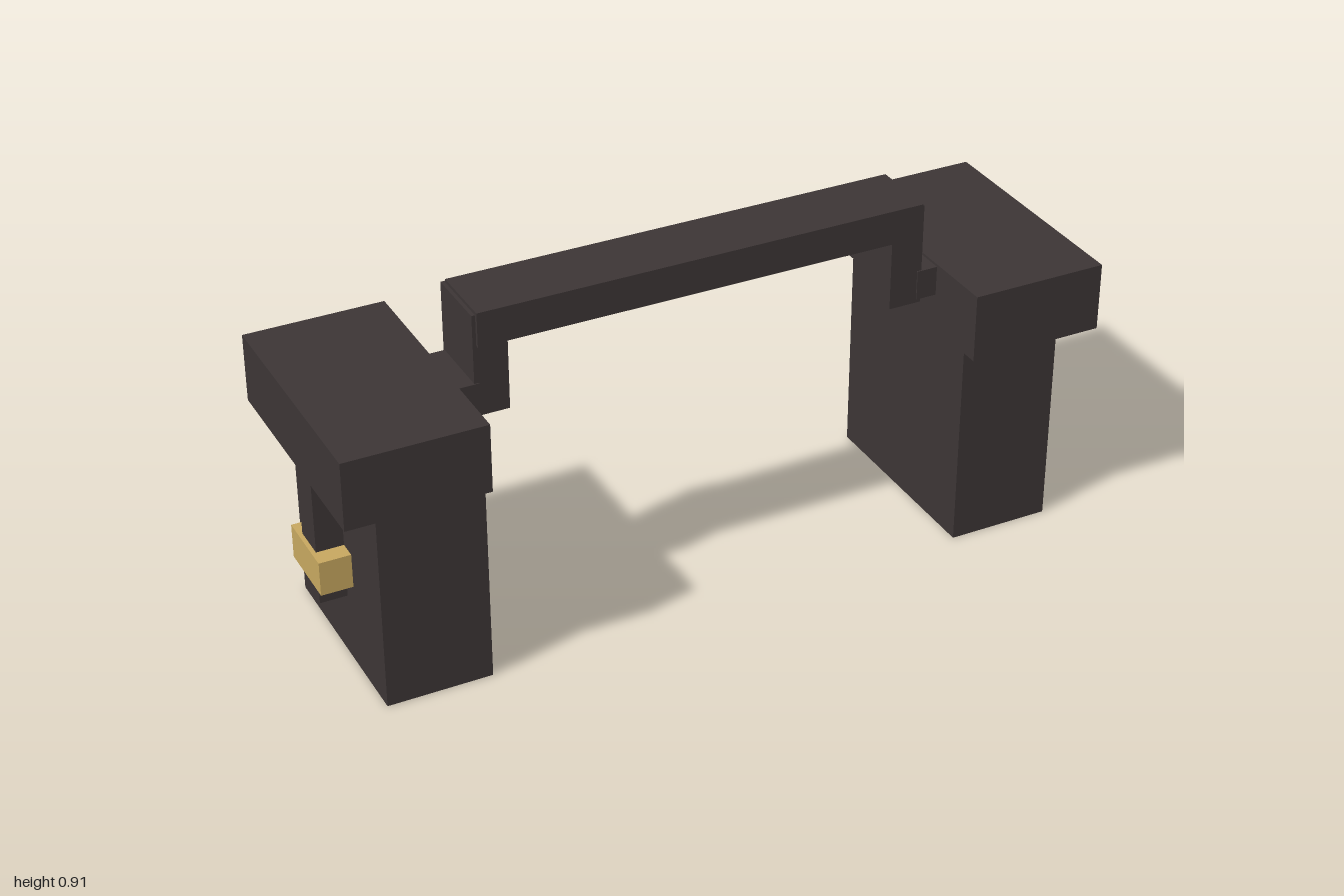
import * as THREE from 'three';

const leather = new THREE.MeshStandardMaterial({ color: 0x3c3535 });
leather.name = 'dark leather';
const brass = new THREE.MeshStandardMaterial({ color: 0xc6a75f });
brass.name = 'brass';

// Box given by its extents along each axis
function box(name, material, [x0, x1], [y0, y1], [z0, z1]) {
  const mesh = new THREE.Mesh(new THREE.BoxGeometry(x1 - x0, y1 - y0, z1 - z0), material);
  mesh.position.set((x0 + x1) / 2, (y0 + y1) / 2, (z0 + z1) / 2);
  mesh.name = name;
  return mesh;
}

export function createModel() {
  const model = new THREE.Group();
  model.name = 'saddlebags';

  // Strap across the back
  model.add(box('crossStrap', leather, [-0.588, 0.588], [0.816, 0.906], [-0.045, 0.136]));

  for (const side of [1, -1]) {
    const group = new THREE.Group();
    group.name = side > 0 ? 'leftBag' : 'rightBag';
    // Extents are written for +x and mirrored for the other side
    const add = (name, material, [x0, x1], y, z) =>
      group.add(box(name, material, side > 0 ? [x0, x1] : [-x1, -x0], y, z));

    // Drop and short link joining the cross strap to the bag
    add('strapDrop', leather, [0.51, 0.597], [0.63, 0.897], [-0.053, 0.127]);
    add('strapLink', leather, [0.585, 0.65], [0.64, 0.718], [-0.047, 0.13]);

    // Bag body and overhanging lid
    add('bagBody', leather, [0.64, 0.91], [0, 0.55], [-0.272, 0.272]);
    add('bagLid', leather, [0.64, 1.0], [0.546, 0.725], [-0.316, 0.316]);

    // Closing strap and buckle on the outer face
    add('closingStrap', leather, [0.905, 0.98], [0.174, 0.55], [-0.045, 0.045]);
    add('buckle', brass, [0.908, 0.991], [0.228, 0.319], [-0.091, 0.091]);
    model.add(group);
  }
  return model;
}
